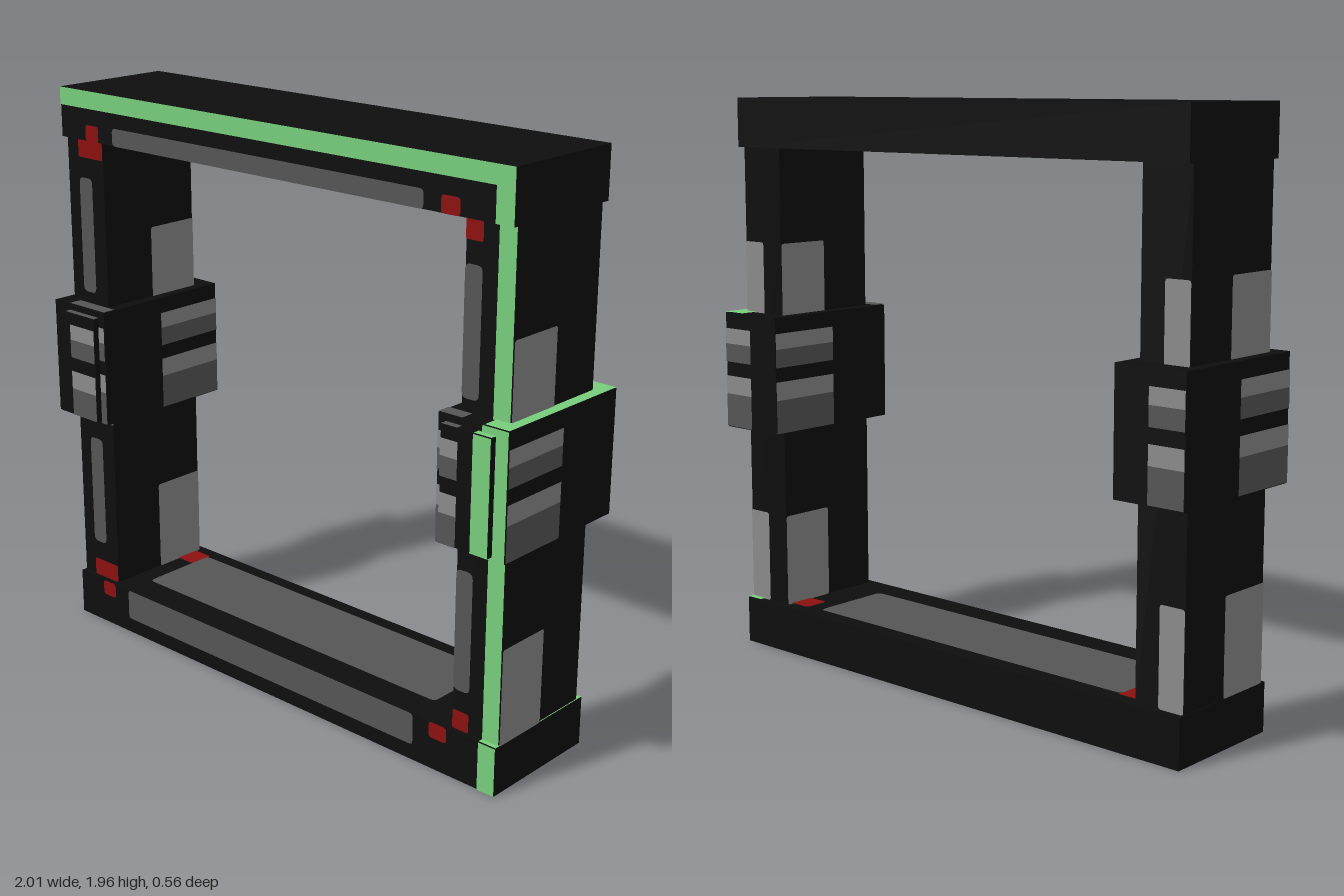
import * as THREE from 'three';

const material = (name, color) => {
  const m = new THREE.MeshStandardMaterial({ color });
  m.name = name;
  return m;
};

export function createModel() {
  const black = material('black', 0x0e0e0e);
  const darkGrey = material('darkGrey', 0x555555);
  const lightGrey = material('lightGrey', 0x8a8a8a);
  const red = material('red', 0x8c1010);
  const green = material('green', 0x77ce7c);

  const model = new THREE.Group();
  model.name = 'squareFrame';

  // Box given by its limits on each axis
  function box(name, x0, x1, y0, y1, z0, z1) {
    const mesh = new THREE.Mesh(new THREE.BoxGeometry(x1 - x0, y1 - y0, z1 - z0), black);
    mesh.position.set((x0 + x1) / 2, (y0 + y1) / 2, (z0 + z1) / 2);
    mesh.name = name;
    model.add(mesh);
  }

  // Painted patch with rounded corners, lying just above a face.
  // a and b run along: x,y on z faces; z,y on x faces; x,z on y faces.
  function patch(name, mat, axis, sign, at, a0, a1, b0, b1, r = 0) {
    const w = Math.abs(a1 - a0) / 2, h = Math.abs(b1 - b0) / 2;
    const s = new THREE.Shape();
    s.moveTo(-w + r, -h);
    s.lineTo(w - r, -h);
    if (r) s.quadraticCurveTo(w, -h, w, -h + r);
    s.lineTo(w, h - r);
    if (r) s.quadraticCurveTo(w, h, w - r, h);
    s.lineTo(-w + r, h);
    if (r) s.quadraticCurveTo(-w, h, -w, h - r);
    s.lineTo(-w, -h + r);
    if (r) s.quadraticCurveTo(-w, -h, -w + r, -h);
    const mesh = new THREE.Mesh(new THREE.ShapeGeometry(s, 4), mat);
    const a = (a0 + a1) / 2, b = (b0 + b1) / 2, d = at + sign * 0.003;
    if (axis === 'z') {
      mesh.position.set(a, b, d);
      if (sign < 0) mesh.rotation.y = Math.PI;
    } else if (axis === 'x') {
      mesh.position.set(d, b, a);
      mesh.rotation.y = sign * Math.PI / 2;
    } else {
      mesh.position.set(a, d, b);
      mesh.rotation.x = -sign * Math.PI / 2;
    }
    mesh.name = name;
    model.add(mesh);
  }

  // Top and bottom bars
  box('bottomBar', -0.965, 0.965, 0, 0.165, -0.235, 0.215);
  box('topBar', -0.965, 0.965, 1.79, 1.96, -0.235, 0.215);
  patch('bottomFrontPanel', darkGrey, 'z', 1, 0.215, -0.705, 0.64, 0.055, 0.165, 0.015);
  patch('topFrontPanel', darkGrey, 'z', 1, 0.215, -0.705, 0.64, 1.79, 1.85, 0.015);
  patch('bottomInnerPanel', darkGrey, 'y', 1, 0.165, -0.705, 0.64, -0.18, 0.11, 0.02);

  for (const s of [-1, 1]) {
    const side = s > 0 ? 'left' : 'right';
    const span = (a, b) => (s > 0 ? [a, b] : [-b, -a]);

    // Column with its front, side and back panels
    box(side + 'Column', ...span(0.782, 0.962), 0.165, 1.79, -0.21, 0.195);
    const pill = s > 0 ? [0.782, 0.845] : [-0.905, -0.84];
    const foot = s > 0 ? [0.782, 0.835] : [-0.91, -0.775];
    for (const [y0, y1] of [[0.3, 0.705], [1.25, 1.655]])
      patch(side + 'ColumnFrontPanel', darkGrey, 'z', 1, 0.195, ...pill, y0, y1, 0.02);
    patch(side + 'ColumnFrontPad', darkGrey, 'z', 1, 0.195, ...foot, 0.775, 0.81, 0.01);
    for (const [y0, y1] of [[0.165, 0.49], [1.2, 1.46]]) {
      patch(side + 'ColumnOuterPanel', lightGrey, 'x', s, s * 0.962, -0.01, 0.195, y0, y1, 0.01);
      patch(side + 'ColumnInnerPanel', lightGrey, 'x', -s, s * 0.782, -0.21, -0.01, y0, y1, 0.01);
      patch(side + 'ColumnBackPanel', lightGrey, 'z', -1, -0.21, ...span(0.87, 0.962), y0, y1, 0.01);
    }

    // Red corner marks
    const mark = s > 0 ? [0.782, 0.845] : [-0.905, -0.782];
    const barMark = s > 0 ? [0.705, 0.775] : [-0.84, -0.775];
    for (const [y0, y1] of [[0.165, 0.23], [1.725, 1.79]])
      patch(side + 'ColumnMark', red, 'z', 1, 0.195, ...mark, y0, y1, 0.008);
    for (const [y0, y1] of [[0.11, 0.165], [1.79, 1.845]])
      patch(side + 'BarMark', red, 'z', 1, 0.215, ...barMark, y0, y1, 0.012);
    patch(side + 'InnerMark', red, 'y', 1, 0.165, ...span(0.7, 0.782), -0.19, -0.1, 0.01);

    // Middle block with a raised front plate
    box(side + 'Block', ...span(0.742, 1), 0.8, 1.21, -0.28, 0.252);
    box(side + 'BlockFrontPlate', ...span(0.77, 0.955), 0.812, 1.185, 0.252, 0.275);
    const topGrey = s > 0 ? [0.742, 0.83] : [-0.92, -0.742];
    patch(side + 'BlockTopPad', darkGrey, 'y', 1, 1.21, ...topGrey, 0.205, 0.252);
    patch(side + 'PlateTopPad', darkGrey, 'y', 1, 1.185, ...(s > 0 ? [0.77, 0.83] : [-0.92, -0.77]), 0.252, 0.275);

    // Ribs on the block: light upper slope and dark lower slope
    for (const [mat, y0, y1] of [
      [lightGrey, 1.1, 1.155], [darkGrey, 1.035, 1.1],
      [lightGrey, 0.92, 0.985], [darkGrey, 0.803, 0.92],
    ]) {
      patch(side + 'BlockOuterRib', mat, 'x', s, s, -0.01, 0.252, y0, y1);
      patch(side + 'BlockInnerRib', mat, 'x', -s, s * 0.742, -0.28, -0.01, y0, y1);
      patch(side + 'BlockBackRib', mat, 'z', -1, -0.28, ...span(0.87, 1), y0, y1);
      patch(side + 'BlockFrontRib', mat, 'z', 1, 0.252, ...span(0.742, 0.77), y0, y1);
      patch(side + 'PlateFrontRib', mat, 'z', 1, 0.275, ...(s > 0 ? [0.77, 0.835] : [-0.895, -0.77]),
        Math.max(y0 - 0.01, 0.812), y1 - 0.01);
    }
  }

  // Green edge along the top and the left of the front
  patch('topGreenEdge', green, 'z', 1, 0.215, -0.965, 0.965, 1.9, 1.96);
  patch('topCornerGreenEdge', green, 'z', 1, 0.215, 0.9, 0.965, 1.79, 1.9);
  patch('bottomGreenEdge', green, 'z', 1, 0.215, 0.9, 0.965, 0, 0.165);
  patch('columnGreenEdge', green, 'z', 1, 0.195, 0.9, 0.962, 0.165, 1.79);
  patch('ledgeGreen', green, 'y', 1, 0.165, 0.9, 0.965, -0.235, 0.215);
  patch('blockFrontGreen', green, 'z', 1, 0.252, 0.905, 1, 0.8, 1.21);
  patch('blockTopGreen', green, 'y', 1, 1.21, 0.912, 1, -0.28, 0.252);
  patch('plateFrontGreen', green, 'z', 1, 0.275, 0.89, 0.955, 0.812, 1.185);
  patch('plateTopGreen', green, 'y', 1, 1.185, 0.89, 0.955, 0.252, 0.275);

  return model;
}
